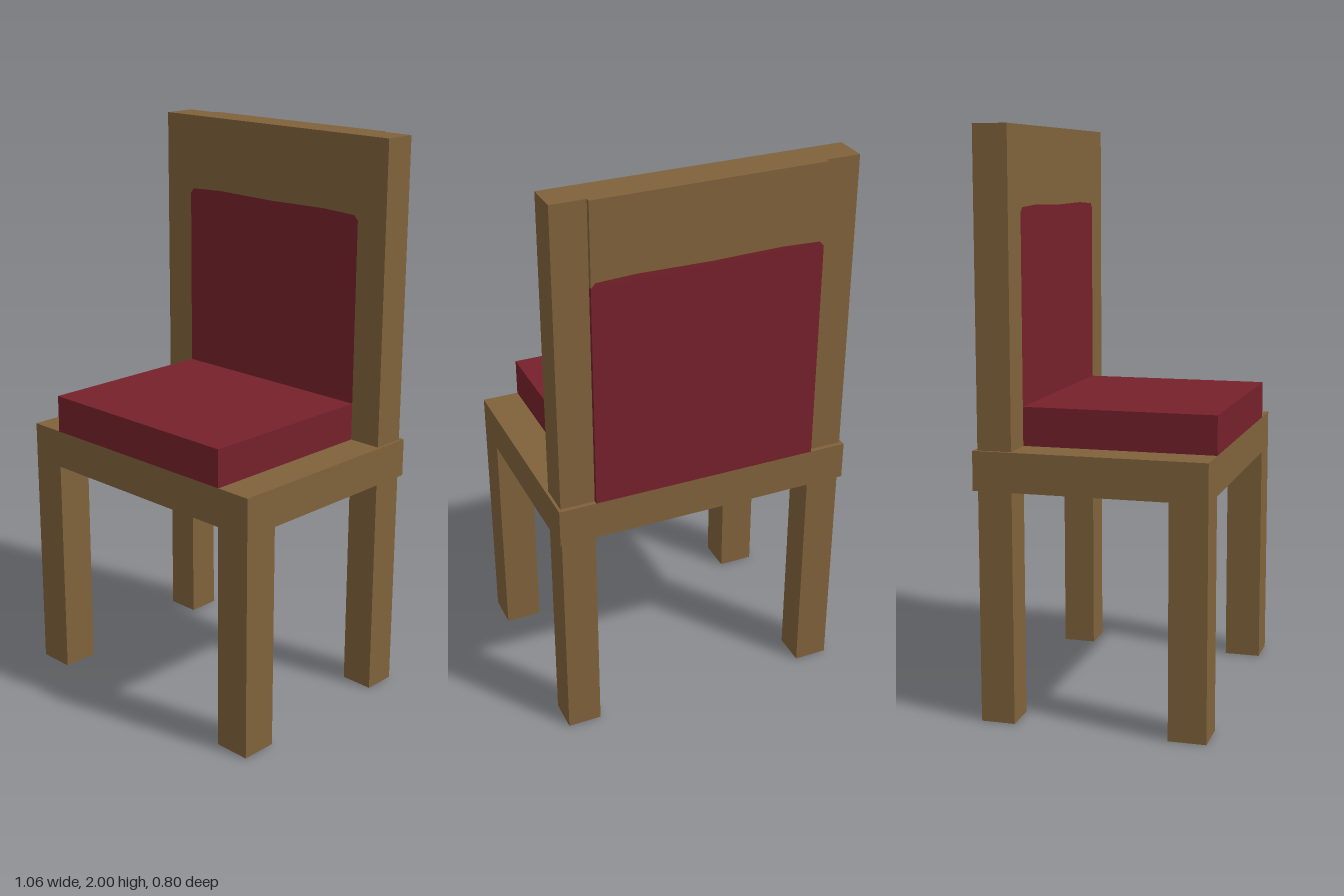
import * as THREE from 'three';

export function createModel() {
  const chair = new THREE.Group();
  chair.name = 'chair';
  const wood = new THREE.MeshStandardMaterial({ color: 0x80623b, side: THREE.DoubleSide });
  wood.name = 'brown wood';
  const fabric = new THREE.MeshStandardMaterial({ color: 0x76212b });
  fabric.name = 'dark red fabric';

  function add(name, geometry, material) {
    const mesh = new THREE.Mesh(geometry, material);
    mesh.name = name;
    chair.add(mesh);
    return mesh;
  }

  // Box given by its limits on each axis
  function box(name, [x0, x1], [y0, y1], [z0, z1], material) {
    const g = new THREE.BoxGeometry(x1 - x0, y1 - y0, z1 - z0);
    g.translate((x0 + x1) / 2, (y0 + y1) / 2, (z0 + z1) / 2);
    return add(name, g, material);
  }

  // Hollow leg: a box without its bottom face (face group 3)
  function leg(name, xs, ys, zs) {
    const g = box(name, xs, ys, zs, wood).geometry;
    const index = Array.from(g.index.array);
    index.splice(18, 6);
    g.setIndex(index);
    g.clearGroups();
  }

  const seatBottom = 0.802, seatTop = 0.937;
  const rearZ = [-0.385, -0.267];

  // Seat frame and cushion
  box('seatFrame', [-0.53, 0.53], [seatBottom, seatTop], [-0.4, 0.4], wood);
  box('seatCushion', [-0.4, 0.4], [seatTop, 1.07], [-0.267, 0.4], fabric);

  // Legs and back posts, mirrored
  for (const [side, s] of [['left', 1], ['right', -1]]) {
    const span = (a, b) => (s > 0 ? [a, b] : [-b, -a]);
    leg(side + 'FrontLeg', span(0.4, 0.53), [0, seatBottom], [0.27, 0.4]);
    leg(side + 'RearLeg', span(0.4, 0.52), [0, seatBottom], rearZ);
    box(side + 'BackPost', span(0.4, 0.52), [seatTop, 2], rearZ, wood);
  }

  // Back panel: upholstery below a top rail, meeting along a slightly uneven edge
  const edge = [[-0.4, 1.715], [-0.385, 1.732], [-0.25, 1.738], [0, 1.734],
    [0.25, 1.738], [0.385, 1.732], [0.4, 1.715]];
  function panel(name, endY, material) {
    const points = [...edge, [0.4, endY], [-0.4, endY]].map(p => new THREE.Vector2(...p));
    const g = new THREE.ExtrudeGeometry(new THREE.Shape(points), { depth: 0.133, bevelEnabled: false });
    g.translate(0, 0, -0.4);
    add(name, g, material);
  }
  panel('backUpholstery', seatTop, fabric);
  panel('topRail', 2, wood);

  return chair;
}
